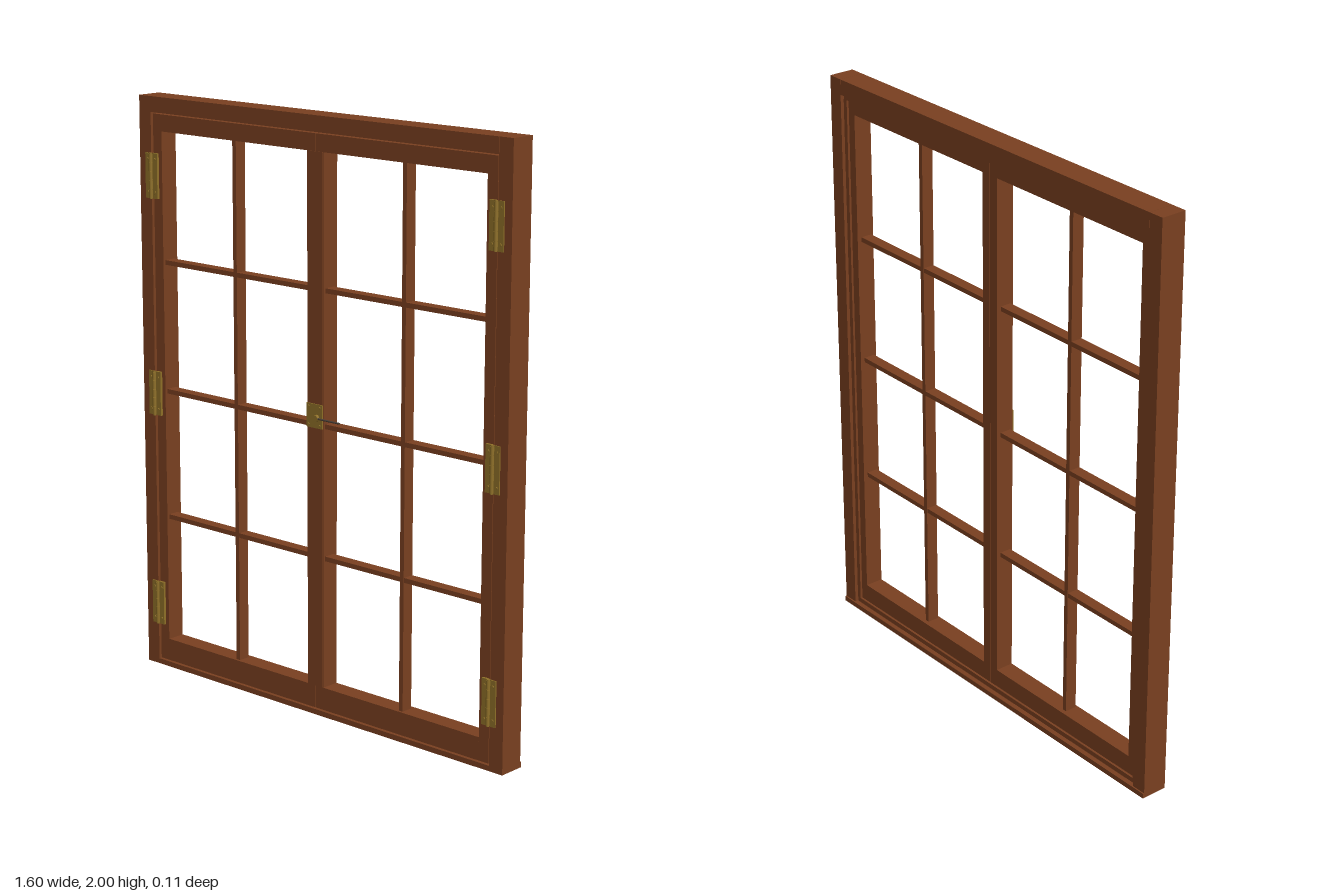
import * as THREE from 'three';

export function createModel() {
  const model = new THREE.Group();
  const wood = new THREE.MeshStandardMaterial({ color: 0x7a4020 });
  wood.name = 'brown wood';
  const brass = new THREE.MeshStandardMaterial({ color: 0x8f7028 });
  brass.name = 'aged brass';
  const iron = new THREE.MeshStandardMaterial({ color: 0x4a4038 });
  iron.name = 'dark iron';

  // Box given by its limits on each axis
  function block(parent, name, mat, x0, x1, y0, y1, z0, z1) {
    const mesh = new THREE.Mesh(new THREE.BoxGeometry(x1 - x0, y1 - y0, z1 - z0), mat);
    mesh.position.set((x0 + x1) / 2, (y0 + y1) / 2, (z0 + z1) / 2);
    mesh.name = name;
    parent.add(mesh);
    return mesh;
  }
  // Same, mirrored to side s (+1 or -1)
  function sided(parent, name, mat, s, x0, x1, ...rest) {
    return block(parent, name, mat, Math.min(s * x0, s * x1), Math.max(s * x0, s * x1), ...rest);
  }
  function rod(parent, name, mat, r, length, x, y, z, sides = 16) {
    const mesh = new THREE.Mesh(new THREE.CylinderGeometry(r, r, length, sides), mat);
    mesh.position.set(x, y, z);
    mesh.name = name;
    parent.add(mesh);
    return mesh;
  }

  // Outer frame
  const frame = new THREE.Group();
  frame.name = 'outerFrame';
  model.add(frame);
  block(frame, 'head', wood, -0.745, 0.745, 1.947, 2, -0.05, 0.04);
  block(frame, 'sill', wood, -0.8, 0.8, 0, 0.018, -0.055, 0.04);
  block(frame, 'headStop', wood, -0.745, 0.745, 1.93, 1.947, -0.038, -0.03);
  block(frame, 'sillStop', wood, -0.745, 0.745, 0.018, 0.035, -0.038, -0.03);
  for (const s of [-1, 1]) {
    sided(frame, 'jamb', wood, s, 0.746, 0.8, 0.018, 2, -0.05, 0.04);
    sided(frame, 'jambStop', wood, s, 0.73, 0.746, 0.035, 1.93, -0.038, -0.03);
  }

  // Hinge: two leaves, a knuckled barrel and screws
  function hinge(s, y) {
    const g = new THREE.Group();
    g.name = 'hinge';
    g.position.set(s * 0.743, y, 0);
    block(g, 'innerLeaf', brass, -0.028, -0.004, -0.077, 0.077, 0.033, 0.044);
    block(g, 'outerLeaf', brass, 0.004, 0.028, -0.077, 0.077, 0.033, 0.044);
    for (let i = -2; i <= 2; i++) rod(g, 'knuckle', brass, 0.007, 0.029, 0, i * 0.03, 0.046);
    rod(g, 'hingePin', brass, 0.005, 0.156, 0, 0, 0.046);
    for (const x of [-0.017, 0.017])
      for (const dy of [-0.056, 0.056])
        rod(g, 'screw', brass, 0.005, 0.004, x, dy, 0.045, 10).rotation.x = Math.PI / 2;
    model.add(g);
  }

  // Two opening sashes with glazing bars
  for (const s of [-1, 1]) {
    const sash = new THREE.Group();
    sash.name = s > 0 ? 'leftSash' : 'rightSash';
    model.add(sash);
    sided(sash, 'hingeStile', wood, s, 0.7, 0.74, 0.022, 1.942, -0.03, 0.035);
    sided(sash, 'meetingStile', wood, s, 0.001, 0.035, 0.022, 1.942, -0.03, 0.035);
    sided(sash, 'topRail', wood, s, 0.035, 0.7, 1.885, 1.942, -0.03, 0.035);
    sided(sash, 'bottomRail', wood, s, 0.035, 0.7, 0.022, 0.1, -0.03, 0.035);
    sided(sash, 'uprightBar', wood, s, 0.36, 0.376, 0.1, 1.885, -0.015, 0.027);
    for (const y of [0.545, 0.992, 1.44])
      sided(sash, 'crossBar', wood, s, 0.035, 0.7, y - 0.008, y + 0.008, -0.014, 0.026);
    for (const y of [0.228, 0.982, 1.733]) hinge(s, y);
  }
  // Cover strip over the meeting joint
  block(model, 'meetingStrip', wood, -0.033, 0.033, 0.1, 1.885, 0.03, 0.037);

  // Latch at the meeting stiles
  const latch = new THREE.Group();
  latch.name = 'latch';
  model.add(latch);
  block(latch, 'latchPlate', brass, -0.034, 0.034, 0.985, 1.065, 0.034, 0.041);
  rod(latch, 'latchHub', brass, 0.011, 0.012, 0.012, 1.02, 0.046).rotation.x = Math.PI / 2;
  rod(latch, 'latchHandle', iron, 0.003, 0.105, 0.064, 1.02, 0.048, 10).rotation.z = Math.PI / 2;
  for (const x of [-0.024, 0.024])
    for (const y of [0.995, 1.055])
      rod(latch, 'latchScrew', brass, 0.004, 0.004, x, y, 0.042, 10).rotation.x = Math.PI / 2;

  return model;
}
